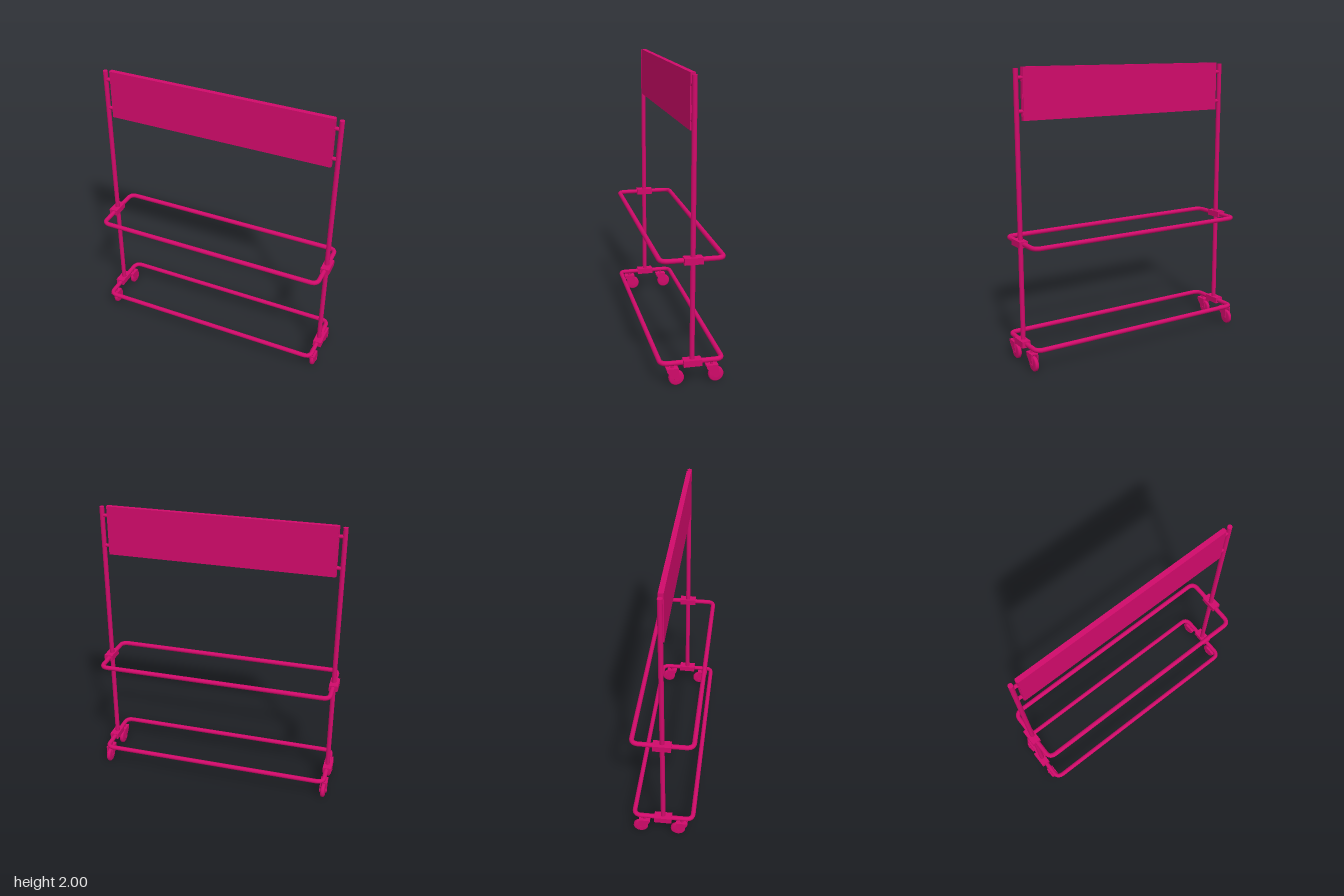
import * as THREE from 'three';

const material = new THREE.MeshStandardMaterial({ color: 0xd00a6a });
const POST_X = 0.833, TUBE_R = 0.0165, RING_Z = 0.206;

function add(parent, name, geometry, x = 0, y = 0, z = 0) {
  const mesh = new THREE.Mesh(geometry, material);
  mesh.name = name;
  mesh.position.set(x, y, z);
  parent.add(mesh);
  return mesh;
}

// Closed rectangular tube loop with rounded corners, lying flat
function ringGeometry() {
  const c = 0.05, path = new THREE.CurvePath();
  const v = (x, z) => new THREE.Vector3(x, 0, z);
  const corners = [[1, 1], [-1, 1], [-1, -1], [1, -1]];
  const ends = corners.map(([sx, sz]) => {
    const alongX = v(sx * (POST_X - c), sz * RING_Z);
    const alongZ = v(sx * POST_X, sz * (RING_Z - c));
    const corner = v(sx * POST_X, sz * RING_Z);
    return sx * sz > 0 ? [alongZ, corner, alongX] : [alongX, corner, alongZ];
  });
  ends.forEach(([a, m, b], i) => {
    path.add(new THREE.QuadraticBezierCurve3(a, m, b));
    path.add(new THREE.LineCurve3(b, ends[(i + 1) % 4][0]));
  });
  return new THREE.TubeGeometry(path, 240, TUBE_R, 12, true);
}

// Swivel caster: origin on the floor below the stem, wheel trailing to -z
function caster() {
  const g = new THREE.Group();
  g.name = 'caster';
  const trail = -0.028, axleY = 0.051;
  add(g, 'casterStem', new THREE.CylinderGeometry(0.01, 0.01, 0.035, 12), 0, 0.13, 0);
  add(g, 'casterTop', new THREE.BoxGeometry(0.05, 0.008, 0.08), 0, 0.119, 0);

  // Fork cheeks taper from the top plate to the axle
  const cheek = new THREE.Shape();
  cheek.moveTo(0.04, 0.122);
  cheek.lineTo(-0.04, 0.122);
  cheek.lineTo(trail - 0.018, axleY);
  cheek.absarc(trail, axleY, 0.018, Math.PI, Math.PI * 2, false);
  cheek.lineTo(0.035, 0.1);
  cheek.closePath();
  const cheekGeo = new THREE.ExtrudeGeometry(cheek, { depth: 0.005, bevelEnabled: false, curveSegments: 8 });
  cheekGeo.rotateY(-Math.PI / 2);
  // Shape x becomes z; depth runs towards -x
  add(g, 'forkCheek', cheekGeo, 0.025, 0, 0);
  add(g, 'forkCheek', cheekGeo, -0.02, 0, 0);

  const profile = [[0, -0.015], [0.043, -0.015], [0.051, -0.008], [0.051, 0.008], [0.043, 0.015], [0, 0.015]];
  const wheel = new THREE.LatheGeometry(profile.map(p => new THREE.Vector2(...p)), 24);
  add(g, 'wheel', wheel, 0, axleY, trail).rotation.z = Math.PI / 2;
  const axle = new THREE.CylinderGeometry(0.008, 0.008, 0.056, 10);
  add(g, 'axle', axle, 0, axleY, trail).rotation.z = Math.PI / 2;
  return g;
}

export function createModel() {
  const model = new THREE.Group();
  model.name = 'rollingRack';

  // Two rail loops with clamps around the posts
  const ring = ringGeometry();
  for (const y of [0.153, 0.849]) {
    add(model, 'railLoop', ring, 0, y, 0);
    for (const s of [-1, 1]) {
      add(model, 'postClamp', new THREE.BoxGeometry(0.062, 0.043, 0.122), s * 0.838, y, 0);
    }
  }

  for (const s of [-1, 1]) {
    // Upright posts
    add(model, 'post', new THREE.CylinderGeometry(TUBE_R, TUBE_R, 1.84, 16), s * POST_X, 1.072, 0);
    // Pegs holding the sign
    for (const y of [1.715, 1.93]) {
      const peg = new THREE.CylinderGeometry(0.013, 0.013, 0.06, 12);
      add(model, 'signPeg', peg, s * 0.806, y, 0).rotation.z = Math.PI / 2;
    }
    // Thin strip closing the end of the sign
    add(model, 'signEndStrip', new THREE.BoxGeometry(0.005, 0.345, 0.022), s * 0.793, 1.8275, 0);
    // Casters front and back
    for (const z of [0.132, -0.132]) {
      const c = caster();
      c.position.set(s * POST_X, 0, z);
      model.add(c);
    }
  }

  // Sign board
  add(model, 'signBoard', new THREE.BoxGeometry(1.582, 0.345, 0.034), 0, 1.8275, 0);
  return model;
}
